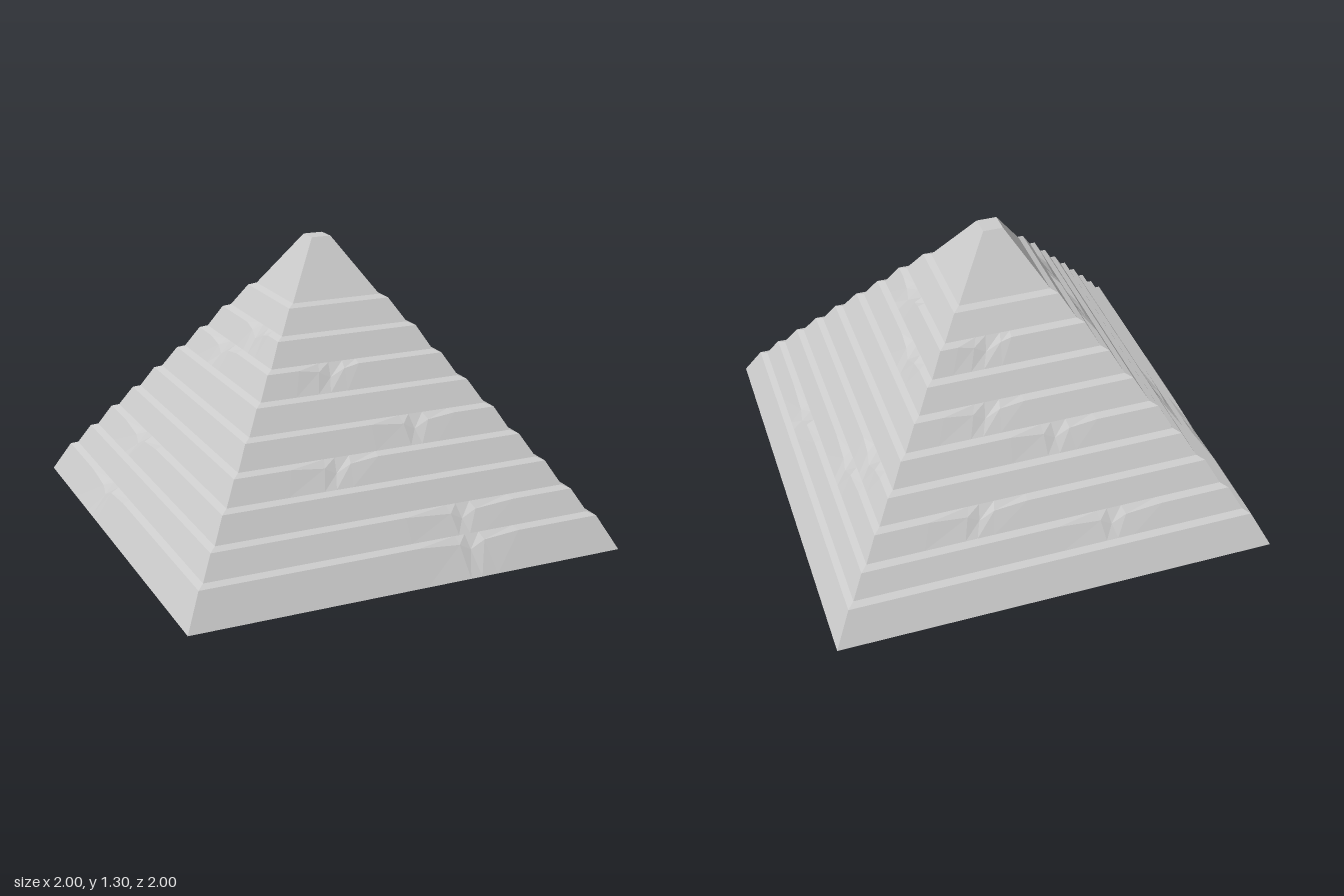
import * as THREE from 'three';

// Ledge heights and the half-width of the block edge at each ledge
const LEDGES = [
  [0.145, 0.925], [0.255, 0.842], [0.37, 0.757], [0.48, 0.672], [0.592, 0.588],
  [0.705, 0.5], [0.815, 0.415], [0.928, 0.33], [1.042, 0.238],
];
const RUN = 0.03, RISE = 0.013;
const TOP_Y = 1.3, TOP_HALF = 0.045;

// Worn chips per side (front, right, back, left): [tier, position along side, half length]
const CHIPS = [
  [[0, 0.29, 0.24], [1, 0.29, 0.26], [3, -0.22, 0.2], [4, 0.19, 0.2], [6, -0.13, 0.14]],
  [[1, -0.25, 0.22], [2, 0.28, 0.2], [3, 0.4, 0.14], [6, 0.15, 0.14], [7, -0.13, 0.12]],
  [[1, 0.28, 0.24], [2, -0.3, 0.22], [4, 0.1, 0.2], [5, -0.19, 0.18], [7, -0.13, 0.12]],
  [[0, -0.3, 0.24], [2, -0.3, 0.22], [6, -0.1, 0.16], [7, 0.1, 0.12]],
];

function createSide(chips) {
  const pos = [];
  const quad = (a, b, c, d) => pos.push(...a, ...b, ...c, ...a, ...c, ...d);
  let baseY = 0, baseHalf = 1;

  LEDGES.forEach(([y, half], tier) => {
    const slope = (baseHalf - half) / (y - baseY);
    // Columns along the tier as [fraction of half-width, drop of the rim]
    const columns = [[-1, 0], [1, 0]];
    chips.filter((c) => c[0] === tier).forEach(([, u, w]) => {
      columns.push([(u - w) / half, 0], [(u - 0.05) / half, 0.015],
        [u / half, 0.042], [(u + 0.07) / half, 0.012], [(u + w) / half, 0]);
    });
    columns.sort((a, b) => a[0] - b[0]);

    const inner = half - RUN;
    const rows = columns.map(([t, drop]) => [
      [t * baseHalf, baseY, baseHalf],
      [t * half, y - drop, half + drop * slope - drop * 0.25],
      [t * inner, y + RISE, inner],
    ]);
    for (let i = 0; i < rows.length - 1; i++) {
      const l = rows[i], r = rows[i + 1];
      quad(l[0], r[0], r[1], l[1]); // sloped wall
      quad(l[1], r[1], r[2], l[2]); // ledge
    }
    baseY = y + RISE;
    baseHalf = inner;
  });

  // Tall capstone face
  quad([-baseHalf, baseY, baseHalf], [baseHalf, baseY, baseHalf],
    [TOP_HALF, TOP_Y, TOP_HALF], [-TOP_HALF, TOP_Y, TOP_HALF]);

  const geo = new THREE.BufferGeometry();
  geo.setAttribute('position', new THREE.Float32BufferAttribute(pos, 3));
  geo.computeVertexNormals();
  return geo;
}

export function createModel() {
  const group = new THREE.Group();
  group.name = 'steppedPyramid';
  const stone = new THREE.MeshStandardMaterial({ color: 0xcccccc, flatShading: true });
  const add = (name, geo) => {
    const mesh = new THREE.Mesh(geo, stone);
    mesh.name = name;
    group.add(mesh);
    return mesh;
  };

  // Four stepped sides
  ['frontSide', 'rightSide', 'backSide', 'leftSide'].forEach((name, k) => {
    // the model's own left is +x
    const label = { rightSide: 'leftSide', leftSide: 'rightSide' }[name] ?? name;
    add(label, createSide(CHIPS[k])).rotation.y = k * Math.PI / 2;
  });

  // Flat tip and underside
  add('flatTip', new THREE.PlaneGeometry(2 * TOP_HALF, 2 * TOP_HALF).rotateX(-Math.PI / 2).translate(0, TOP_Y, 0));
  add('underside', new THREE.PlaneGeometry(2, 2).rotateX(Math.PI / 2));

  return group;
}
